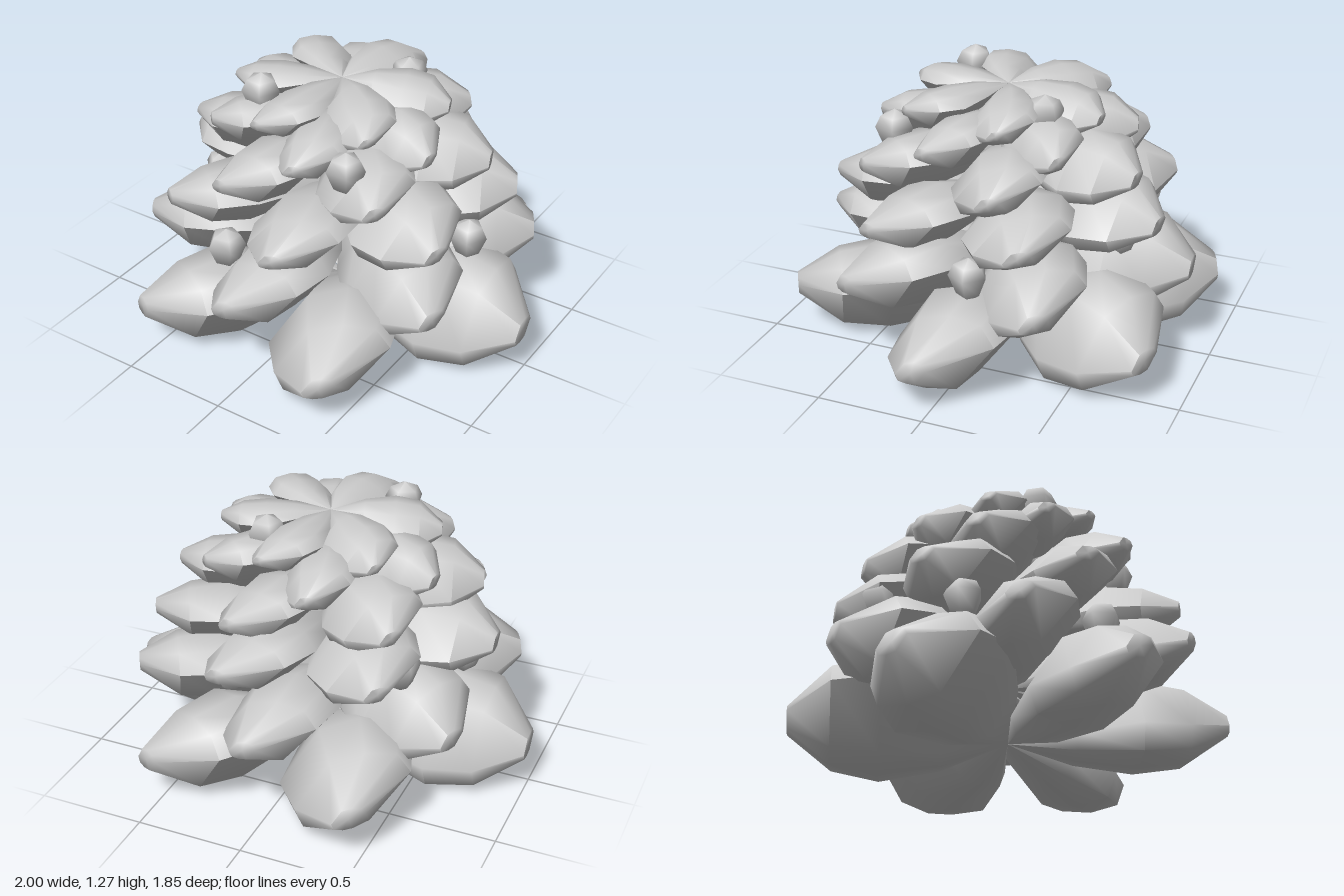
import * as THREE from 'three';
import { toCreasedNormals } from 'three/addons/utils/BufferGeometryUtils.js';

const material = new THREE.MeshStandardMaterial({ color: 0xcccccc });

// Skewed leaf cross-section, counter-clockwise seen from outside
const SECTION = [[-0.85, -0.9], [-0.3, -1], [0.3, -0.85], [1, 0.4], [0.75, 0.9], [0.2, 1], [-0.4, 0.78], [-1, -0.4]];

// Swelling along the leaf: [fraction of length, scale of section, sideways drift]
const WIDEST = 0.58;
const SWELL = [[0, 0, 0], [0.3, 0.64, 0], [WIDEST, 1, 0], [0.8, 0.85, 0], [1, 0.24, -0.15], [1, 0, -0.15]];

// Tiers from the ground up: y of leaf middle, y at the axis, reach, half width, half height, leaves, first angle
const TIERS = [
  { y: 0.23, root: 0.13, reach: 1.0, w: 0.3, h: 0.23, count: 6, turn: 30 },
  { y: 0.455, root: 0.4, reach: 0.9, w: 0.265, h: 0.19, count: 6, turn: 1 },
  { y: 0.715, root: 0.68, reach: 0.81, w: 0.25, h: 0.15, count: 7, turn: 14 },
  { y: 0.91, root: 0.9, reach: 0.7, w: 0.22, h: 0.14, count: 6, turn: -13 },
  { y: 1.04, root: 1.07, reach: 0.59, w: 0.18, h: 0.12, count: 6, turn: 15 },
  { y: 1.14, root: 1.2, reach: 0.5, w: 0.16, h: 0.095, count: 6, turn: -12 },
];

// Small buds nestled between the leaves
const BUDS = [
  [0.2, 1.16, -0.25], [-0.25, 1.18, 0.27], [0.3, 1.03, 0.43], [-0.25, 0.52, 0.57],
  [0.64, 0.54, -0.07], [0.21, 0.67, -0.62], [-0.5, 0.72, -0.4], [-0.63, 0.57, 0.09],
];

// Leaf: cross-sections lofted outward along +z from a point on the axis
function leafGeometry({ y, root, reach, w, h }) {
  const positions = [], index = [], n = SECTION.length;
  for (const [t, s, drift] of SWELL) {
    const middle = root + (y - root) * Math.min(1, t / WIDEST);
    for (const [u, v] of SECTION) positions.push((u * s + drift) * w, middle + v * h * s, t * reach);
  }
  for (let i = 0; i < SWELL.length - 1; i++) {
    for (let j = 0; j < n; j++) {
      const a = i * n + j, b = i * n + (j + 1) % n;
      if (SWELL[i][1] > 0) index.push(a, b, b + n);
      if (SWELL[i + 1][1] > 0) index.push(a, b + n, a + n);
    }
  }
  const geometry = new THREE.BufferGeometry();
  geometry.setAttribute('position', new THREE.Float32BufferAttribute(positions, 3));
  geometry.setIndex(index);
  return toCreasedNormals(geometry, 1.1);
}

function budGeometry() {
  const profile = [[0, -0.12], [0.055, -0.08], [0.09, 0.01], [0.065, 0.06], [0, 0.09]];
  return new THREE.LatheGeometry(profile.map(([r, y]) => new THREE.Vector2(r, y)), 5);
}

export function createModel() {
  const model = new THREE.Group();
  model.name = 'leafyBush';

  // Stacked rosettes of leaves
  TIERS.forEach((tier, k) => {
    const rosette = new THREE.Group();
    rosette.name = `leafTier${k + 1}`;
    const geometry = leafGeometry(tier);
    for (let i = 0; i < tier.count; i++) {
      const leaf = new THREE.Mesh(geometry, material);
      leaf.name = 'leaf';
      leaf.rotation.y = THREE.MathUtils.degToRad(tier.turn + (i * 360) / tier.count);
      rosette.add(leaf);
    }
    model.add(rosette);
  });

  // Buds
  const bud = budGeometry();
  for (const [x, y, z] of BUDS) {
    const mesh = new THREE.Mesh(bud, material);
    mesh.name = 'bud';
    mesh.position.set(x, y, z);
    mesh.rotation.y = Math.atan2(x, z);
    model.add(mesh);
  }
  return model;
}
